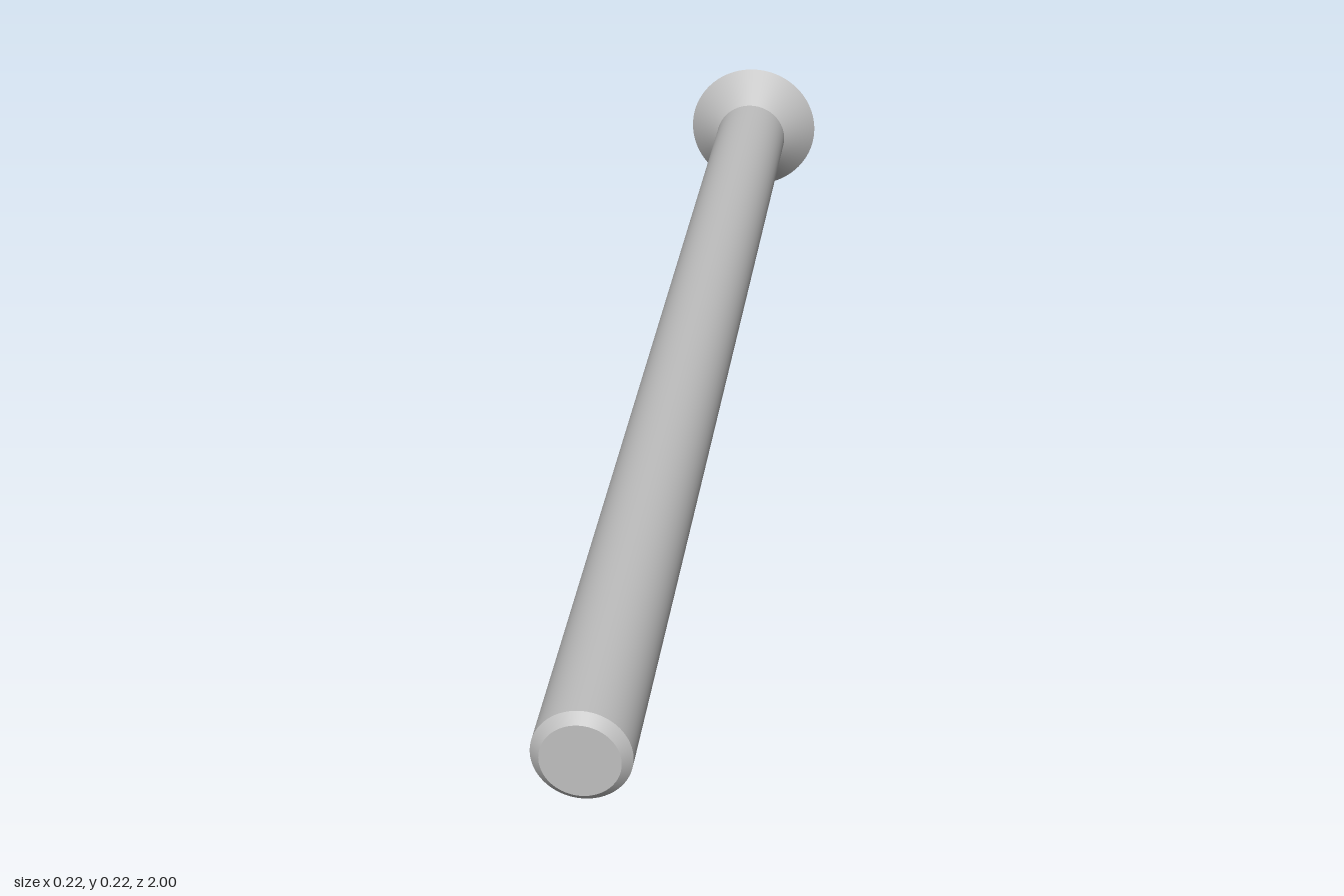
import * as THREE from 'three';

const SEG = 96;
const HEAD_R = 0.11, SHAFT_R = 0.06, TIP_R = 0.048;
const HEX_R = 0.0462, SOCKET_DEPTH = 0.045;

export function createModel() {
  const steel = new THREE.MeshStandardMaterial({ color: 0xbfbfbf });
  steel.name = 'steel grey';

  const screw = new THREE.Group();
  screw.name = 'countersunkScrew';
  screw.position.y = HEAD_R;

  const add = (name, geometry, parent = screw) => {
    const mesh = new THREE.Mesh(geometry, steel);
    mesh.name = name;
    parent.add(mesh);
  };

  // Open round section along z, from z0 (radius r0) to z1 (radius r1)
  const section = (z0, r0, z1, r1) =>
    new THREE.CylinderGeometry(r1, r0, z1 - z0, SEG, 1, true)
      .rotateX(Math.PI / 2)
      .translate(0, 0, (z0 + z1) / 2);

  // Countersunk cone, shaft and chamfered tip
  add('headCone', section(-1, HEAD_R, -0.95, SHAFT_R));
  add('shaft', section(-0.95, SHAFT_R, 0.988, SHAFT_R));
  add('tipChamfer', section(0.988, SHAFT_R, 1, TIP_R));
  add('tipFace', new THREE.CircleGeometry(TIP_R, SEG).translate(0, 0, 1));

  // Flat head face with a hexagonal opening
  const face = new THREE.Shape().absarc(0, 0, HEAD_R, 0, Math.PI * 2);
  const corners = Array.from({ length: 6 }, (_, i) => {
    const a = Math.PI / 6 + (i * Math.PI) / 3;
    return new THREE.Vector2(HEX_R * Math.cos(a), HEX_R * Math.sin(a));
  });
  face.holes.push(new THREE.Path(corners));
  add('headFace', new THREE.ShapeGeometry(face, SEG).rotateY(Math.PI).translate(0, 0, -1));

  // Hex socket: six inward-facing walls and a floor
  const socket = new THREE.Group();
  socket.name = 'hexSocket';
  screw.add(socket);
  for (let i = 0; i < 6; i++) {
    add('socketWall', new THREE.PlaneGeometry(SOCKET_DEPTH, HEX_R)
      .rotateY(-Math.PI / 2)
      .translate(HEX_R * Math.cos(Math.PI / 6), 0, -1 + SOCKET_DEPTH / 2)
      .rotateZ((i * Math.PI) / 3), socket);
  }
  add('socketFloor', new THREE.CircleGeometry(HEX_R, 6)
    .rotateZ(Math.PI / 6)
    .rotateY(Math.PI)
    .translate(0, 0, -1 + SOCKET_DEPTH), socket);

  const model = new THREE.Group();
  model.name = 'screwModel';
  model.add(screw);
  return model;
}
